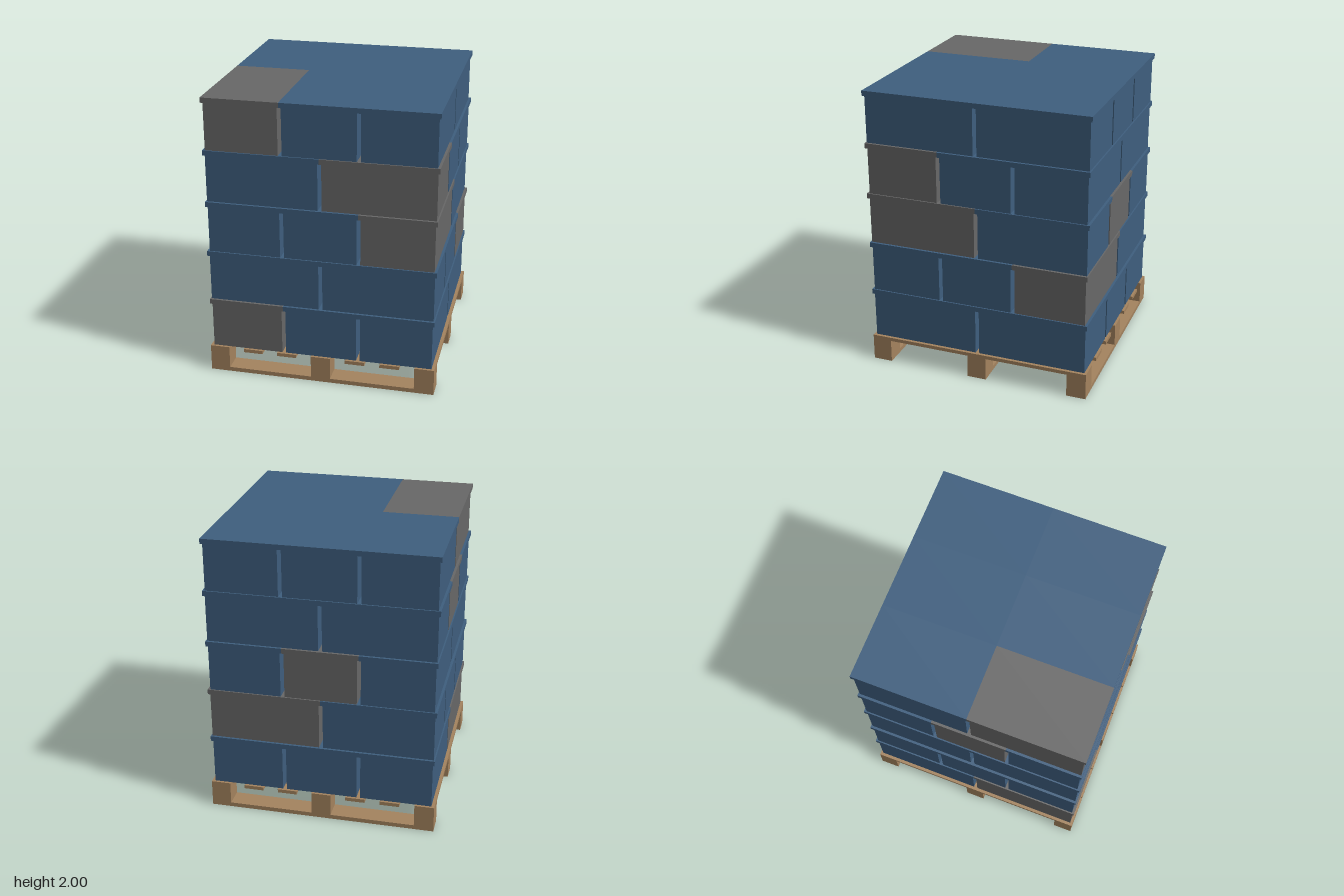
import * as THREE from 'three';

const mat = (color) => new THREE.MeshStandardMaterial({ color });

export function createModel() {
  const model = new THREE.Group();
  const wood = mat(0xa5845f), blue = mat(0x3f5f7f), grey = mat(0x686868);

  const box = (parent, name, material, [w, h, d], [x, y, z]) => {
    const mesh = new THREE.Mesh(new THREE.BoxGeometry(w, h, d), material);
    mesh.name = name;
    mesh.position.set(x, y + h / 2, z); // y is the underside
    parent.add(mesh);
  };

  // Pallet: three runners, nine blocks, seven deck boards
  const SIZE = 1.584, BOARD = 0.136, EDGE = (SIZE - BOARD) / 2;
  const RUNNER_H = 0.03, DECK_Y = 0.163, TOP = 0.188;
  const pallet = new THREE.Group();
  pallet.name = 'pallet';
  model.add(pallet);
  for (const z of [-EDGE, 0, EDGE]) {
    box(pallet, 'runner', wood, [SIZE, RUNNER_H, BOARD], [0, 0, z]);
    for (const x of [-EDGE, 0, EDGE]) {
      box(pallet, 'block', wood, [BOARD, DECK_Y - RUNNER_H, BOARD], [x, RUNNER_H, z]);
    }
  }
  for (let i = -3; i <= 3; i++) {
    box(pallet, 'deckBoard', wood, [BOARD, TOP - DECK_Y, SIZE], [i * EDGE / 3, DECK_Y, 0]);
  }

  // Lidded crates: six per layer, turned a quarter on every other layer
  const LONG = 0.7875, SHORT = 0.5225, INSET = 0.0265;
  const PITCH = (2 - TOP) / 5, LID_H = 0.035;
  // Grey crates of each layer as "column,row", counted from -x and from -z
  const greyCrates = [['0,1'], ['1,0'], ['1,0', '2,1'], ['0,1', '1,2'], ['0,1']];
  greyCrates.forEach((greys, layer) => {
    const group = new THREE.Group();
    group.name = `crateLayer${layer + 1}`;
    group.position.y = TOP + layer * PITCH;
    model.add(group);
    const turned = layer % 2 === 1;
    const [cols, rows] = turned ? [2, 3] : [3, 2];
    const [w, d] = turned ? [LONG, SHORT] : [SHORT, LONG];
    for (let c = 0; c < cols; c++) {
      for (let r = 0; r < rows; r++) {
        const crate = new THREE.Group();
        crate.name = 'crate';
        crate.position.set((c - (cols - 1) / 2) * w, 0, (r - (rows - 1) / 2) * d);
        group.add(crate);
        const material = greys.includes(`${c},${r}`) ? grey : blue;
        box(crate, 'crateBody', material, [w - INSET, PITCH - LID_H, d - INSET], [0, 0, 0]);
        box(crate, 'crateLid', material, [w, LID_H, d], [0, PITCH - LID_H, 0]);
      }
    }
  });
  return model;
}
